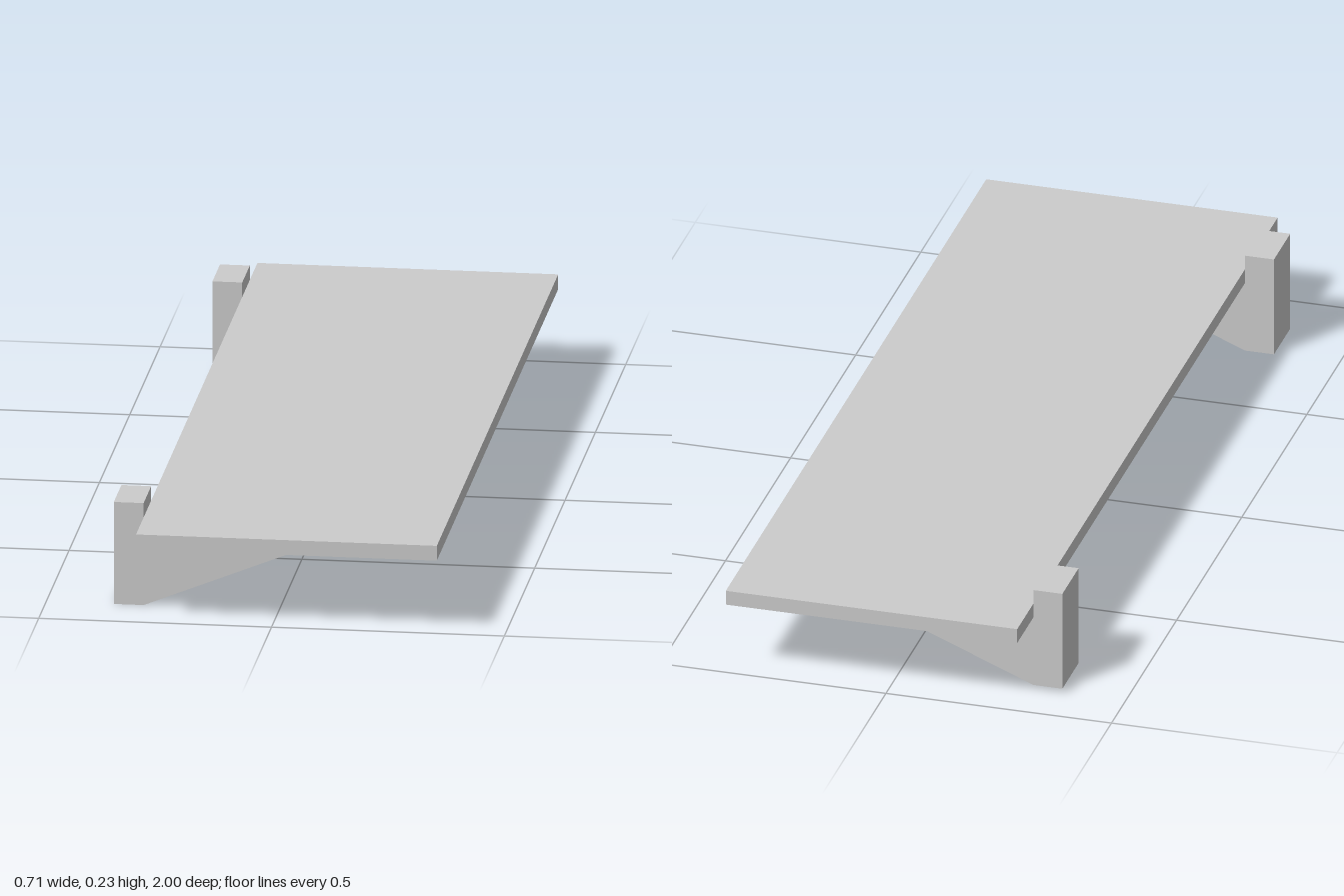
import * as THREE from 'three';

export function createModel() {
  const group = new THREE.Group();
  const material = new THREE.MeshStandardMaterial({ color: 0xcccccc, flatShading: true });

  // Measurements shared by the board and the brackets
  const backX = -0.355, frontX = 0.355, postX = -0.291;
  const boardBottom = 0.162, boardTop = 0.195;
  const bracketWidth = 0.125, bracketZ = 0.8125;

  // Shelf board, butting against the bracket posts
  const board = new THREE.Mesh(
    new THREE.BoxGeometry(frontX - postX, boardTop - boardBottom, 2), material);
  board.name = 'shelfBoard';
  board.position.set((frontX + postX) / 2, (boardTop + boardBottom) / 2, 0);
  group.add(board);

  // Bracket side profile: upright post with a tapering support arm
  const profile = new THREE.Shape([
    [backX, 0], [postX, 0], [0.031, 0.13], [0.031, boardBottom],
    [postX, boardBottom], [postX, 0.227], [backX, 0.227],
  ].map(([x, y]) => new THREE.Vector2(x, y)));
  const bracketGeometry = new THREE.ExtrudeGeometry(profile, { depth: bracketWidth, bevelEnabled: false });
  bracketGeometry.translate(0, 0, -bracketWidth / 2);

  // One bracket near each end of the board
  for (const side of [1, -1]) {
    const bracket = new THREE.Mesh(bracketGeometry, material);
    bracket.name = side > 0 ? 'frontBracket' : 'backBracket';
    bracket.position.z = side * bracketZ;
    group.add(bracket);
  }

  return group;
}
